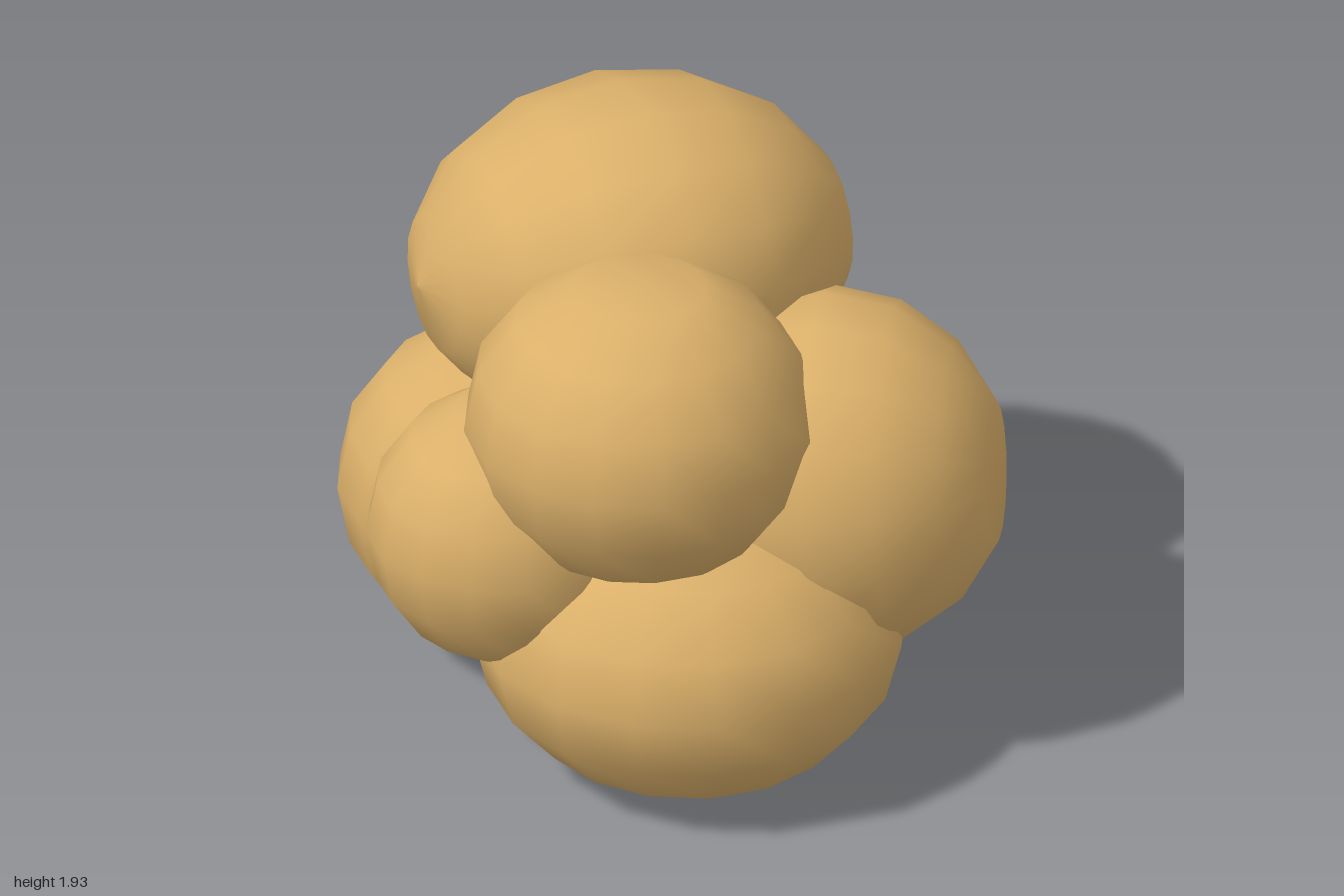
import * as THREE from 'three';

const SIDES = 16;
const STEP = Math.PI / 8;

// Unit ball of 16 sides; its ends are flat caps, or come to a full pole
function ballGeometry(flatEnds) {
  const end = flatEnds ? Math.cos(STEP) : 1;
  const profile = [new THREE.Vector2(0, -end)];
  for (let i = 1; i < 8; i++) {
    profile.push(new THREE.Vector2(Math.sin(i * STEP), -Math.cos(i * STEP)));
  }
  profile.push(new THREE.Vector2(0, end));
  return new THREE.LatheGeometry(profile, SIDES, Math.PI / SIDES);
}

export function createModel() {
  const group = new THREE.Group();
  const material = new THREE.MeshStandardMaterial({ color: 0xdbb06a });
  const capped = ballGeometry(true);
  const round = ballGeometry(false);

  // Each lump: name, centre, radii, turn, geometry
  const lumps = [
    ['topLump', [0.035, 1.36, -0.36], [0.55, 0.68, 0.67], [-0.4, 0, -Math.PI / 2], round],
    ['upperFrontLump', [-0.185, 1.22, 0.37], [0.535, 0.5, 0.54], [0, 0, 0], capped],
    ['leftLump', [0.45, 0.875, 0.3], [0.575, 0.55, 0.535], [0, -0.47, -1.5], capped],
    ['lowerFrontLump', [-0.015, 0.47, 0.335], [0.665, 0.509, 0.678], [0, 0, 0], capped],
    ['rightLump', [-0.53, 0.82, 0.19], [0.449, 0.44, 0.425], [0, 0, 0], capped],
    ['backLeftLump', [0.28, 0.67, -0.42], [0.54, 0.574, 0.58], [0, 0, 0], capped],
    ['backRightLump', [-0.37, 0.6, -0.41], [0.49, 0.5, 0.52], [0, 0, 0], capped],
  ];

  for (const [name, centre, radii, turn, geometry] of lumps) {
    const lump = new THREE.Mesh(geometry, material);
    lump.name = name;
    lump.position.set(...centre);
    lump.scale.set(...radii);
    lump.rotation.set(...turn);
    group.add(lump);
  }
  return group;
}
